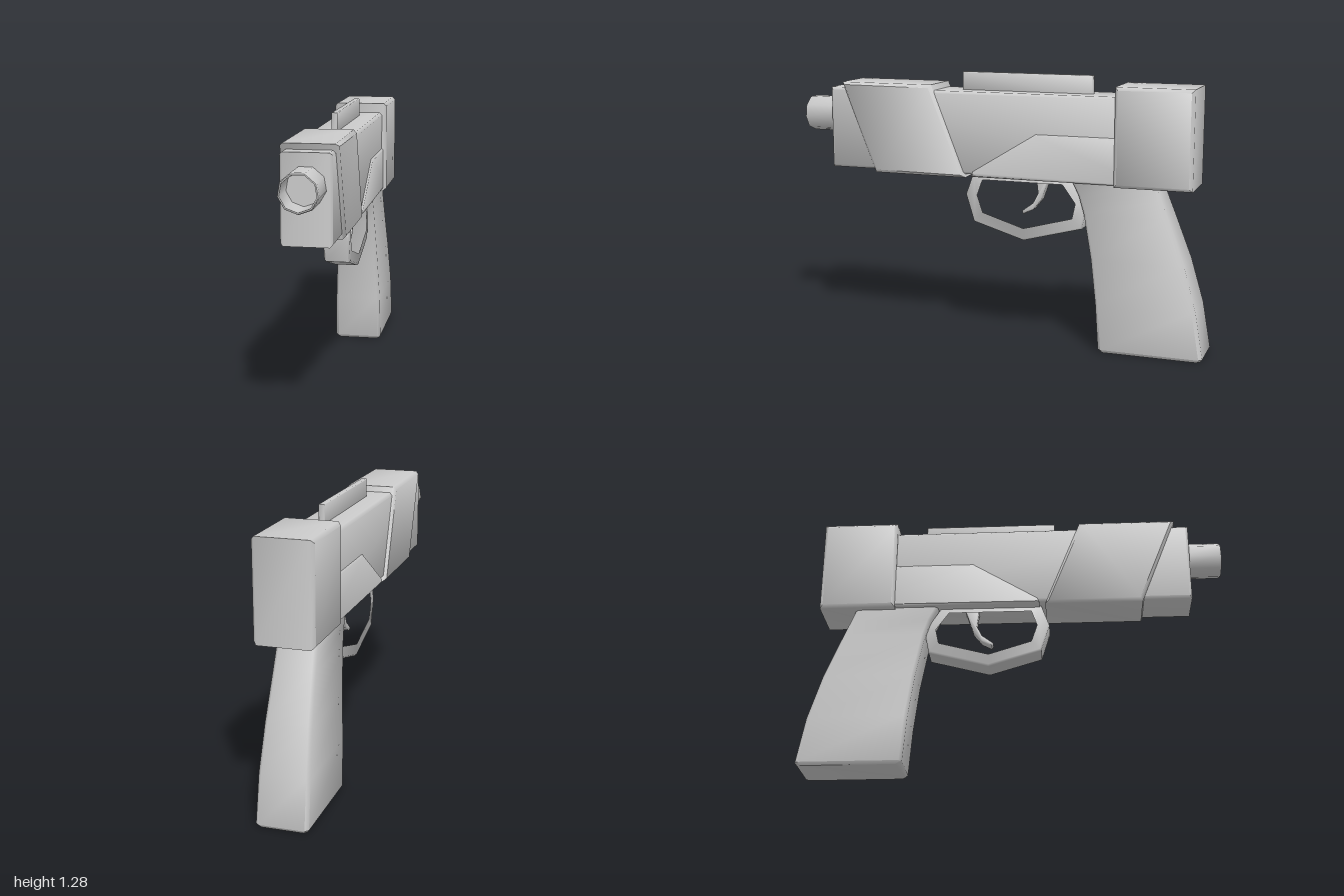
import * as THREE from 'three';
import { toCreasedNormals } from 'three/addons/utils/BufferGeometryUtils.js';

const material = new THREE.MeshStandardMaterial({ color: 0xcccccc });
const toPoints = (list) => list.map(([z, y]) => new THREE.Vector2(z, y));

// Side profile of [z, y] points, given a width across x and chamfered edges
function sidePart(name, profile, width, bevel, hole) {
  const shape = new THREE.Shape(toPoints(profile));
  if (hole) shape.holes.push(new THREE.Path(toPoints(hole)));
  const geometry = new THREE.ExtrudeGeometry(shape, {
    depth: width - 2 * bevel,
    bevelEnabled: true,
    bevelThickness: bevel,
    bevelSize: bevel,
    bevelOffset: -bevel,
    bevelSegments: 1,
  });
  geometry.translate(0, 0, bevel - width / 2);
  geometry.rotateY(-Math.PI / 2);
  return named(name, toCreasedNormals(geometry, 0.9));
}

function named(name, geometry) {
  const mesh = new THREE.Mesh(geometry, material);
  mesh.name = name;
  return mesh;
}

const rect = (z0, z1, y0, y1) => [[z0, y0], [z1, y0], [z1, y1], [z0, y1]];

// Handle lofted through chamfered rectangles: [y, front z, back z, half width]
function gripGeometry() {
  const levels = [
    [0, -0.52, -0.985, 0.108],
    [0.015, -0.508, -0.997, 0.118],
    [0.23, -0.492, -0.96, 0.115],
    [0.44, -0.465, -0.9, 0.105],
    [0.65, -0.425, -0.82, 0.095],
    [0.73, -0.4, -0.788, 0.092],
    [0.84, -0.345, -0.745, 0.09],
  ];
  const c = 0.015;
  const positions = [];
  const index = [];
  for (const [y, f, b, w] of levels) {
    const ring = [
      [w - c, f], [w, f - c], [w, b + c], [w - c, b],
      [c - w, b], [-w, b + c], [-w, f - c], [c - w, f],
    ];
    for (const [x, z] of ring) positions.push(x, y, z);
  }
  for (let l = 0; l < levels.length - 1; l++) {
    for (let i = 0; i < 8; i++) {
      const a = l * 8 + i;
      const b = l * 8 + (i + 1) % 8;
      index.push(a, b, b + 8, a, b + 8, a + 8);
    }
  }
  for (let i = 1; i < 7; i++) index.push(0, i + 1, i);
  const geometry = new THREE.BufferGeometry();
  geometry.setAttribute('position', new THREE.Float32BufferAttribute(positions, 3));
  geometry.setIndex(index);
  return toCreasedNormals(geometry, 0.9);
}

// Nine-sided hollow tube along z
function muzzleGeometry() {
  const profile = [[0.087, 0.8], [0.087, 0.99], [0.083, 1], [0.077, 1], [0.075, 0.88], [0, 0.88]];
  const geometry = new THREE.LatheGeometry(toPoints(profile), 9);
  geometry.rotateX(Math.PI / 2);
  geometry.translate(0, 1.055, 0);
  geometry.deleteAttribute('normal');
  geometry.deleteAttribute('uv');
  return toCreasedNormals(geometry, 0.8);
}

export function createModel() {
  const model = new THREE.Group();
  model.name = 'pistol';

  // Body, with slightly raised lower frame panels
  model.add(sidePart('body', rect(-0.85, 0.845, 0.805, 1.195), 0.22, 0.012));
  model.add(sidePart('lowerFrame', [
    [-0.75, 0.795], [0.12, 0.795], [0.11, 0.82], [-0.2, 1.01], [-0.75, 1.01],
  ], 0.236, 0.008));

  // Slanted front sleeve and rear block
  model.add(sidePart('frontSleeve', [
    [0.61, 0.79], [0.78, 1.222], [0.318, 1.222], [0.148, 0.79],
  ], 0.25, 0.015));
  model.add(sidePart('rearBlock', rect(-0.933, -0.573, 0.787, 1.242), 0.268, 0.015));

  // Sight rail and muzzle
  model.add(sidePart('sightRail', rect(-0.442, 0.195, 1.17, 1.28), 0.028, 0.003));
  model.add(named('muzzle', muzzleGeometry()));

  // Trigger guard and trigger
  model.add(sidePart('triggerGuard', [
    [0.125, 0.81], [0.165, 0.7], [0.125, 0.57], [-0.125, 0.495],
    [-0.41, 0.57], [-0.432, 0.68], [-0.35, 0.81],
  ], 0.124, 0.008, [
    [0.085, 0.783], [0.115, 0.7], [0.085, 0.61], [-0.125, 0.545],
    [-0.37, 0.61], [-0.387, 0.69], [-0.32, 0.783],
  ]));
  model.add(sidePart('trigger', [
    [-0.175, 0.8], [-0.185, 0.72], [-0.16, 0.67], [-0.106, 0.63],
    [-0.112, 0.613], [-0.162, 0.64], [-0.202, 0.69], [-0.24, 0.8],
  ], 0.05, 0.004));

  // Handle
  model.add(named('grip', gripGeometry()));

  return model;
}
